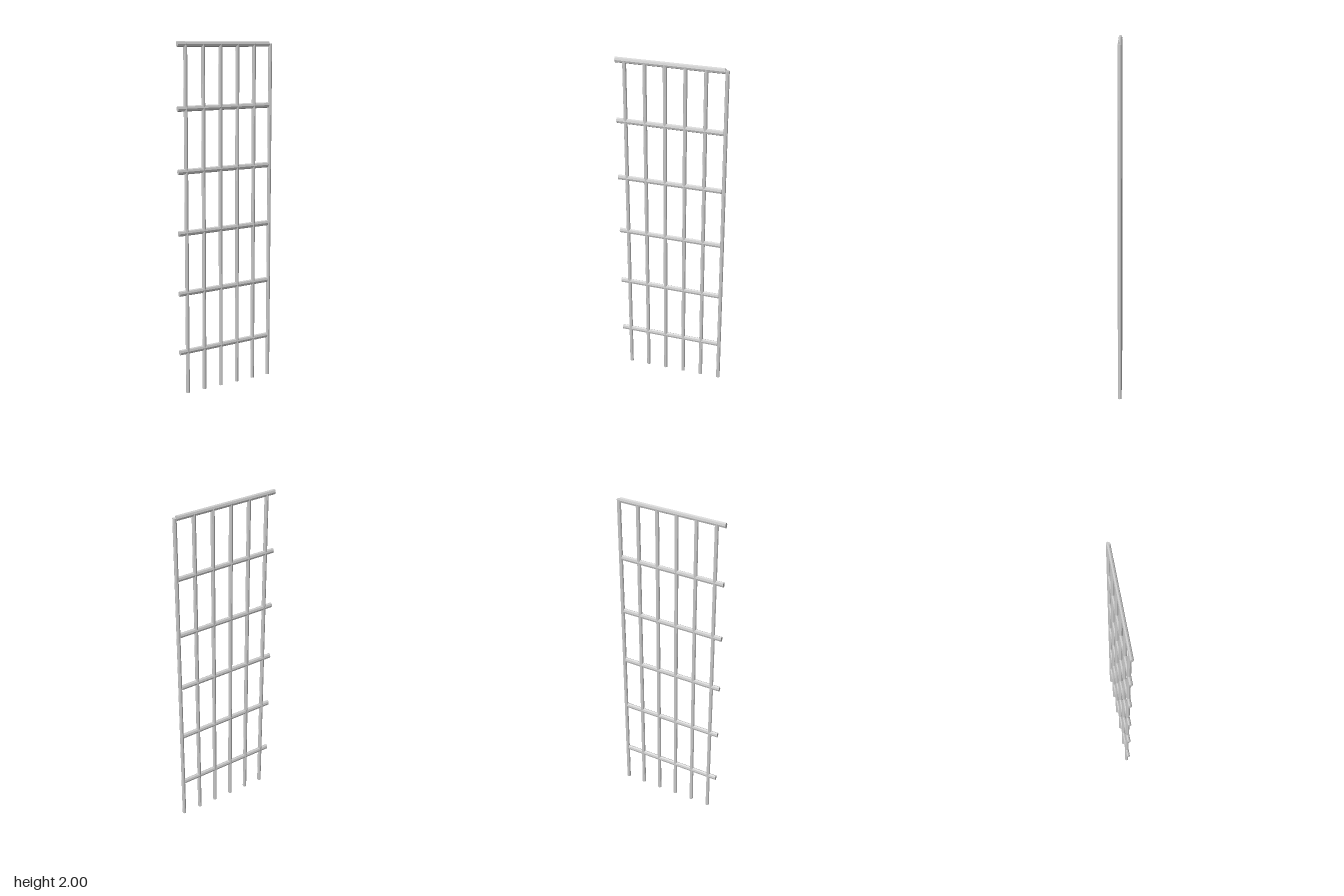
import * as THREE from 'three';

export function createModel() {
  const model = new THREE.Group();
  model.name = 'latticePanel';
  const material = new THREE.MeshStandardMaterial({ color: 0xcccccc, flatShading: true });

  // The panel is turned slightly about the vertical axis
  const slope = 0.026;
  const zAt = (x) => slope * x - 0.001;

  // Upright bars, evenly spaced
  const uprightHeight = 1.987;
  const upright = new THREE.CylinderGeometry(0.0112, 0.0112, uprightHeight, 8);
  for (let i = 0; i < 6; i++) {
    const x = 0.301 - i * 0.1127;
    const bar = new THREE.Mesh(upright, material);
    bar.name = `uprightBar${i + 1}`;
    bar.position.set(x, uprightHeight / 2, zAt(x));
    model.add(bar);
  }

  // Cross rails, taller than deep, stopping at the end post
  const x0 = -0.314, x1 = 0.291;
  const rail = new THREE.CylinderGeometry(0.011, 0.011, x1 - x0, 8);
  rail.rotateZ(Math.PI / 2);
  rail.scale(1, 1.45, 1);
  rail.rotateY(-Math.atan(slope));
  const xMid = (x0 + x1) / 2;
  for (let i = 0; i < 6; i++) {
    const bar = new THREE.Mesh(rail, material);
    bar.name = `crossRail${i + 1}`;
    bar.position.set(xMid, 1.984 - i * 0.3467, zAt(xMid));
    model.add(bar);
  }

  return model;
}
